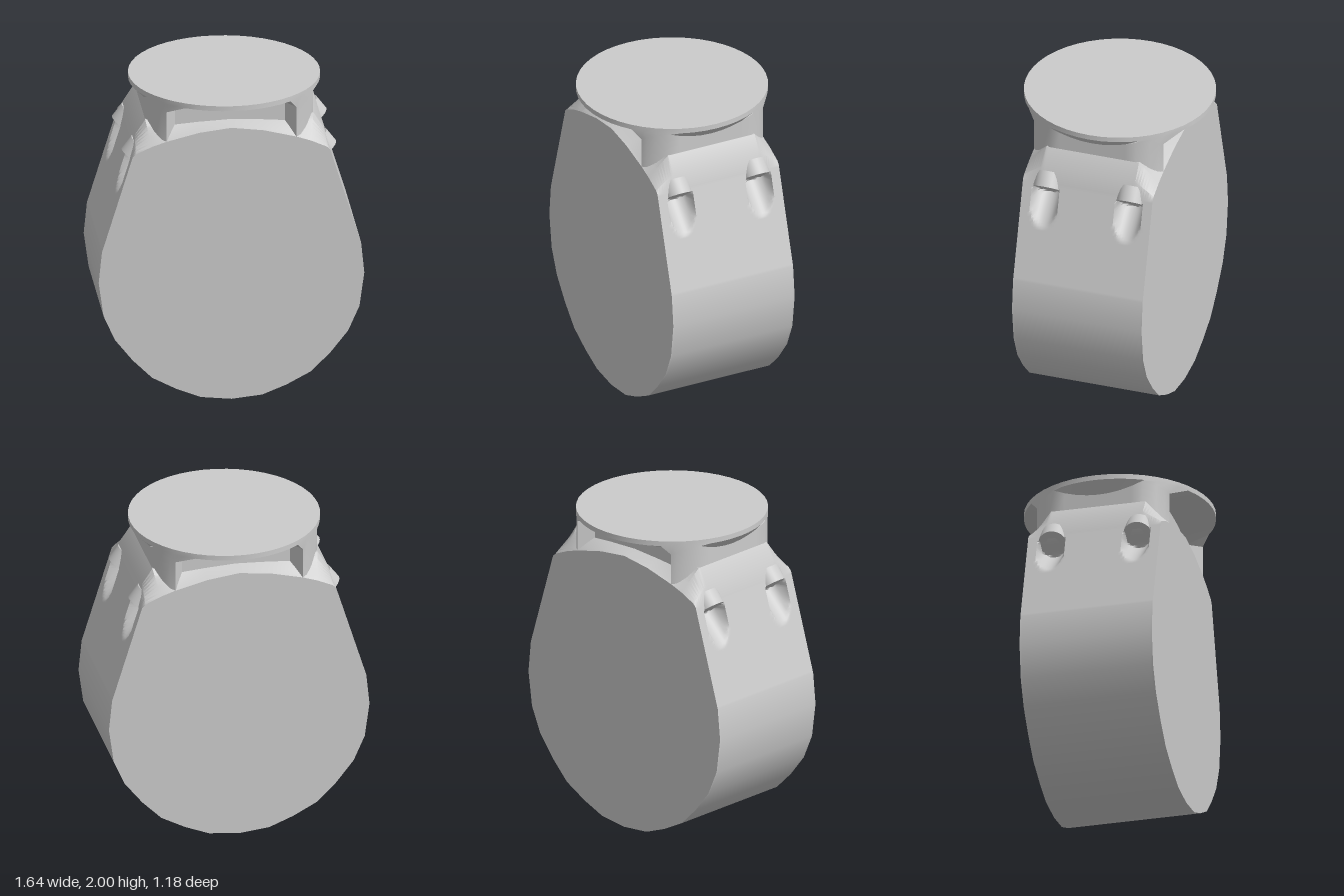
import * as THREE from 'three';
import { toCreasedNormals } from 'three/addons/utils/BufferGeometryUtils.js';

const DEPTH = 0.42; // half thickness of the body
const LIP = 0.59; // flange radius
const material = new THREE.MeshStandardMaterial({ color: 0xcccccc });

// Bolt placement on the shoulder: centre of the head face, radius, outward axis
const BOLT = { x: 0.59, y: 1.565, z: 0.27, r: 0.09, ax: 0.6, ay: -0.8 };

const LOWER = [[0, 0], [0.19, 0.02], [0.34, 0.08], [0.49, 0.16], [0.61, 0.28],
  [0.72, 0.42], [0.79, 0.58], [0.82, 0.8]];
const SHOULDER_MID = [[0.585, 1.72], [0.52, 1.82], [0.4, 1.81], [0.2, 1.815], [0, 1.82]];
const SHOULDER_END = [[0.59, 1.64], [0.49, 1.685], [0.4, 1.715], [0.2, 1.765], [0, 1.79]];

function addMesh(parent, name, geometry) {
  const mesh = new THREE.Mesh(geometry, material);
  mesh.name = name;
  parent.add(mesh);
  return mesh;
}

// Skin between successive cross-sections, each an equal-length list of [x, y, z]
function loft(sections, crease) {
  const n = sections[0].length;
  const index = [];
  for (let i = 0; i < sections.length - 1; i++) {
    for (let j = 0; j < n - 1; j++) {
      const a = i * n + j, b = a + n;
      index.push(a, a + 1, b, a + 1, b + 1, b);
    }
  }
  const geometry = new THREE.BufferGeometry();
  geometry.setAttribute('position', new THREE.Float32BufferAttribute(sections.flat(2), 3));
  geometry.setIndex(index);
  return toCreasedNormals(geometry, crease);
}

// Straight side wall, cut back by the flared bolt pockets
function wallX(y, z) {
  const wall = 0.8 - 0.306 * (y - 1);
  const w = Math.abs(Math.abs(z) - BOLT.z);
  if (w > BOLT.r - 1e-6) return wall;
  const h = Math.sqrt(BOLT.r ** 2 - w ** 2);
  const bottom = BOLT.y - 0.6 * h;
  const cut = y < bottom
    ? BOLT.x - 0.8 * h + 1.03 * (bottom - y)
    : BOLT.x + (y - BOLT.y) * (0.8 / 0.6);
  return Math.min(wall, cut);
}

// Closed body outline at depth z; the shoulder is chamfered towards both ends
function outline(z) {
  const half = LOWER.map((p) => [...p]);
  for (let i = 0; i <= 44; i++) {
    const y = 1 + (0.62 * i) / 44;
    half.push([wallX(y, z), y]);
  }
  const s = THREE.MathUtils.clamp((Math.abs(z) - 0.3) / (DEPTH - 0.3), 0, 1);
  SHOULDER_MID.forEach(([x, y], i) => {
    const [ex, ey] = SHOULDER_END[i];
    half.push([x + (ex - x) * s, y + (ey - y) * s]);
  });
  const mirrored = half.slice(0, -1).reverse().map(([x, y]) => [-x, y]);
  return [...half, ...mirrored];
}

function createBody() {
  const body = new THREE.Group();
  body.name = 'body';
  const sections = [];
  for (let i = -28; i <= 28; i++) {
    const z = i * 0.015;
    sections.push(outline(z).map(([x, y]) => [x, y, z]));
  }
  addMesh(body, 'bodyWall', loft(sections, 0.6));

  // Flat front and back faces
  const shape = new THREE.Shape(outline(DEPTH).slice(0, -1).map((p) => new THREE.Vector2(...p)));
  const face = new THREE.ShapeGeometry(shape).translate(0, 0, DEPTH);
  addMesh(body, 'frontFace', face);
  addMesh(body, 'backFace', face.clone().rotateY(Math.PI));
  return body;
}

// Neck with front and back windows, flaring out to a round flange
function createNeck() {
  const neck = new THREE.Group();
  neck.name = 'neck';

  // One quadrant of the plan from side to front: x, z and where the flare starts
  const quadrant = [];
  for (let i = 0; i <= 4; i++) {
    const z = 0.07 * i;
    quadrant.push([0.52, z, 1.96 - 0.06 * (1 - (z / 0.28) ** 2)]);
  }
  quadrant.push([0.47, 0.355, 1.94], [0.43, 0.4, 1.925], [0.4, 0.42, 1.91]);
  for (const x of [0.34, 0.25, 0.16, 0.08, 0]) {
    quadrant.push([x, 0.33, 1.955 - 0.045 * (x / 0.34) ** 2]);
  }
  const back = quadrant.slice(0, -1).reverse();
  const side = [...quadrant, ...back.map(([x, z, y]) => [-x, z, y])];
  const loop = [...side, ...side.slice(1, -1).reverse().map(([x, z, y]) => [x, -z, y]), side[0]];

  const sections = loop.map(([x, z, y], i) => {
    const angle = (i / (loop.length - 1)) * Math.PI * 2;
    const lx = LIP * Math.cos(angle), lz = LIP * Math.sin(angle);
    return [[x, 1.7, z], [x, y, z], [lx, 1.968, lz], [lx, 2, lz]];
  });
  addMesh(neck, 'neckAndFlange', loft(sections, 0.6));

  const top = new THREE.CircleGeometry(LIP, loop.length - 1).rotateX(-Math.PI / 2);
  addMesh(neck, 'flangeTop', top.translate(0, 2, 0));
  return neck;
}

// Round bolt head with a hexagonal socket, facing +z
function createBolt() {
  const bolt = new THREE.Group();
  bolt.name = 'bolt';
  const shape = new THREE.Shape().absarc(0, 0, BOLT.r, 0, Math.PI * 2);
  const hex = [];
  for (let i = 0; i < 6; i++) {
    const a = (i * Math.PI) / 3;
    hex.push(new THREE.Vector2(0.048 * Math.cos(a), 0.048 * Math.sin(a)));
  }
  shape.holes.push(new THREE.Path(hex));
  const head = new THREE.ExtrudeGeometry(shape, { depth: 0.1, bevelEnabled: false, curveSegments: 12 });
  addMesh(bolt, 'boltHead', toCreasedNormals(head.translate(0, 0, -0.1), 0.6));
  addMesh(bolt, 'socketFloor', new THREE.CircleGeometry(0.05, 6).translate(0, 0, -0.05));
  return bolt;
}

export function createModel() {
  const model = new THREE.Group();
  model.name = 'mountingHousing';
  model.add(createBody(), createNeck());
  for (const sx of [1, -1]) {
    for (const sz of [1, -1]) {
      const bolt = createBolt();
      bolt.position.set(sx * BOLT.x, BOLT.y, sz * BOLT.z);
      bolt.lookAt(sx * (BOLT.x + BOLT.ax), BOLT.y + BOLT.ay, sz * BOLT.z);
      model.add(bolt);
    }
  }
  return model;
}
